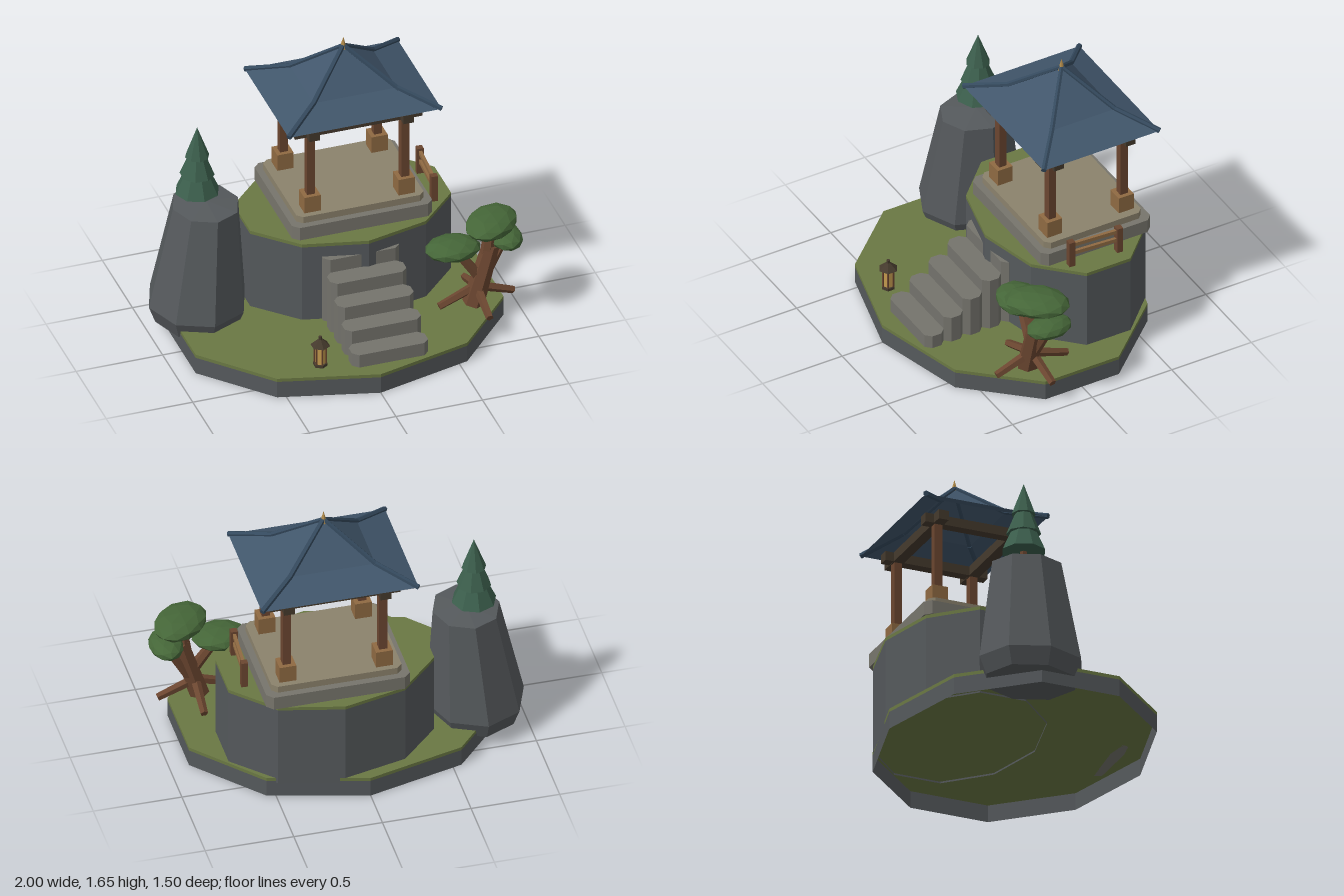
import * as THREE from 'three';

const C = {
  stone: 0x55595c, grass: 0x6a7843, step: 0x74736c, slab: 0x77756c, floor: 0x8b826c,
  wood: 0x6b4630, plinth: 0x8f6a42, beam: 0x453a2d, roof: 0x41566b, ridge: 0x34495d,
  gold: 0xb08a4a, pine: 0x3c5f4d, leaf: 0x456638, glow: 0xc49a4e,
};
const mats = {};
const mat = (name) => (mats[name] ??= new THREE.MeshStandardMaterial({
  color: C[name], flatShading: true, side: THREE.DoubleSide,
}));

function add(parent, name, geo, color, x = 0, y = 0, z = 0) {
  const mesh = new THREE.Mesh(geo, mat(color));
  mesh.name = name;
  mesh.position.set(x, y, z);
  parent.add(mesh);
  return mesh;
}

function group(parent, name, x = 0, y = 0, z = 0) {
  const g = new THREE.Group();
  g.name = name;
  g.position.set(x, y, z);
  parent.add(g);
  return g;
}

const box = (w, h, d) => new THREE.BoxGeometry(w, h, d);

// Tapered rod from a to b
function rod(parent, name, a, b, r0, r1, color, sides = 6) {
  const from = new THREE.Vector3(...a), to = new THREE.Vector3(...b);
  const dir = to.clone().sub(from);
  const m = add(parent, name, new THREE.CylinderGeometry(r1, r0, dir.length(), sides), color);
  m.position.copy(from).add(to).multiplyScalar(0.5);
  m.quaternion.setFromUnitVectors(new THREE.Vector3(0, 1, 0), dir.normalize());
  return m;
}

// Slab with cut corners, standing on y = 0
function cutSlab(w, h, d, c) {
  const x = w / 2, z = d / 2;
  const shape = new THREE.Shape([
    [x - c, -z], [x, -z + c], [x, z - c], [x - c, z],
    [-x + c, z], [-x, z - c], [-x, -z + c], [-x + c, -z],
  ].map((p) => new THREE.Vector2(...p)));
  return new THREE.ExtrudeGeometry(shape, { depth: h, bevelEnabled: false }).rotateX(-Math.PI / 2);
}

// Ten-sided terrace: open stone wall with a grass cap
function terrace(parent, name, rx, rz, y0, y1, x, z) {
  const g = group(parent, name, x, 0, z);
  const cap = 0.02, h = y1 - cap - y0;
  const wall = new THREE.CylinderGeometry(1, 1, h, 10, 1, true).scale(rx, 1, rz);
  add(g, 'stoneWall', wall, 'stone', 0, y0 + h / 2);
  add(g, 'grassCap', new THREE.CylinderGeometry(1, 1, cap, 10).scale(rx, 1, rz), 'grass', 0, y1 - cap / 2);
}

function buildStairs(parent) {
  const g = group(parent, 'stairs', 0.1, 0.1, 0);
  for (let i = 0; i < 5; i++) {
    add(g, 'step', cutSlab(0.44, 0.1 + i * 0.081, 0.12, 0.032), 'step', 0, 0, 0.587 - i * 0.12);
  }
}

function buildPavilion(parent) {
  const g = group(parent, 'pavilion', 0.147, 0, -0.295);
  add(g, 'lowerPlatform', cutSlab(0.81, 0.08, 0.69, 0.035), 'slab', 0, 0.61);
  add(g, 'upperPlatform', cutSlab(0.735, 0.04, 0.61, 0.03), 'floor', 0, 0.69);
  for (const sx of [-1, 1]) for (const sz of [-1, 1]) {
    add(g, 'postBase', box(0.094, 0.1, 0.094), 'plinth', sx * 0.272, 0.78, sz * 0.225);
    add(g, 'post', box(0.046, 0.39, 0.046), 'wood', sx * 0.272, 1.02, sz * 0.225);
  }
  for (const s of [-1, 1]) {
    add(g, 'longBeam', box(0.735, 0.055, 0.06), 'beam', 0, 1.237, s * 0.225);
    add(g, 'crossBeam', box(0.06, 0.053, 0.61), 'beam', s * 0.272, 1.237, 0);
  }
  // Four-sided roof with a flared eave, hips covered by ridge poles
  const profile = [[0.442, 1.305], [0.24, 1.385], [0, 1.59]];
  const squash = 0.825;
  const roofGeo = new THREE.LatheGeometry(
    profile.map(([r, y]) => new THREE.Vector2(r * Math.SQRT2, y)), 4, Math.PI / 4);
  add(g, 'roof', roofGeo.scale(1, 1, squash), 'roof');
  for (const sx of [-1, 1]) for (const sz of [-1, 1]) {
    const [eave, kink, peak] = profile.map(([r, y]) => [sx * r, y + 0.002, sz * r * squash]);
    rod(g, 'hipRidge', eave, kink, 0.016, 0.015, 'ridge');
    rod(g, 'hipRidge', kink, peak, 0.015, 0.013, 'ridge');
  }
  add(g, 'finial', new THREE.ConeGeometry(0.021, 0.075, 6), 'gold', 0, 1.608);
}

function buildRock(parent) {
  const profile = [[0, 0.07], [0.24, 0.07], [0.277, 0.17], [0.188, 0.78], [0, 0.8]];
  const geo = new THREE.LatheGeometry(profile.map((p) => new THREE.Vector2(...p)), 8);
  geo.scale(1, 1, 1.1);
  // Lean inward with height
  const pos = geo.attributes.position;
  for (let i = 0; i < pos.count; i++) {
    pos.setX(i, pos.getX(i) + 0.05 * Math.max(0, pos.getY(i) - 0.17) / 0.61);
  }
  add(parent, 'rockPillar', geo, 'stone', -0.724, 0, -0.225);
}

function buildPine(parent) {
  const g = group(parent, 'pine', -0.71, 0, -0.26);
  add(g, 'pineTrunk', new THREE.CylinderGeometry(0.02, 0.024, 0.12, 6), 'wood', 0, 0.82);
  [[0.125, 0.85, 1.13], [0.096, 0.96, 1.2], [0.068, 1.075, 1.26]].forEach(([r, y0, y1], i) => {
    const cone = add(g, 'pineTier', new THREE.ConeGeometry(r, y1 - y0, 8), 'pine', 0, (y0 + y1) / 2);
    cone.rotation.y = i * 0.35;
  });
}

function buildBentTree(parent) {
  const g = group(parent, 'bentTree');
  rod(g, 'trunk', [0.71, 0.12, 0.24], [0.815, 0.48, 0.24], 0.062, 0.048, 'wood');
  rod(g, 'upperTrunk', [0.79, 0.4, 0.24], [0.81, 0.6, 0.245], 0.045, 0.03, 'wood');
  rod(g, 'branch', [0.75, 0.28, 0.24], [0.61, 0.48, 0.23], 0.034, 0.026, 'wood');
  rod(g, 'branch', [0.74, 0.2, 0.23], [0.9, 0.48, 0.21], 0.03, 0.024, 'wood');
  for (const [x, z] of [[0.51, 0.25], [0.95, 0.22], [0.735, 0.45], [0.74, 0.01]]) {
    rod(g, 'root', [0.735, 0.225, 0.23], [x, 0.145, z], 0.028, 0.022, 'wood', 5);
  }
  // Flattened leaf pads: position, radii, turn
  for (const [x, y, z, rx, ry, rz, turn] of [
    [0.815, 0.622, 0.24, 0.185, 0.06, 0.135, Math.PI / 4],
    [0.597, 0.495, 0.228, 0.157, 0.056, 0.125, 0],
    [0.903, 0.5, 0.215, 0.095, 0.053, 0.135, 0],
  ]) {
    const pad = add(g, 'leafPad', new THREE.IcosahedronGeometry(1, 1).scale(rx, ry, rz), 'leaf', x, y, z);
    pad.rotation.y = turn;
  }
}

function buildRailing(parent) {
  const g = group(parent, 'railing', 0.61, 0, -0.24);
  g.rotation.y = -0.06;
  for (const s of [-1, 1]) add(g, 'railPost', box(0.038, 0.16, 0.036), 'wood', 0, 0.69, s * 0.145);
  for (const y of [0.69, 0.745]) add(g, 'rail', box(0.018, 0.022, 0.32), 'plinth', 0, y, 0);
}

function buildLantern(parent) {
  const g = group(parent, 'lantern', -0.28, 0, 0.55);
  add(g, 'lanternBase', new THREE.CylinderGeometry(0.04, 0.04, 0.016, 6), 'beam', 0, 0.128);
  add(g, 'lanternGlass', new THREE.CylinderGeometry(0.03, 0.03, 0.11, 6), 'glow', 0, 0.19);
  for (let i = 0; i < 6; i++) {
    const a = i * Math.PI / 3;
    add(g, 'lanternBar', box(0.008, 0.115, 0.008), 'wood', Math.sin(a) * 0.032, 0.192, Math.cos(a) * 0.032);
  }
  add(g, 'lanternRoof', new THREE.CylinderGeometry(0.012, 0.055, 0.04, 6), 'beam', 0, 0.268);
  add(g, 'lanternKnob', new THREE.CylinderGeometry(0.01, 0.01, 0.02, 6), 'beam', 0, 0.296);
}

export function createModel() {
  const model = new THREE.Group();
  model.name = 'gardenPavilion';
  terrace(model, 'lowerTerrace', 0.935, 0.748, 0, 0.12, 0, 0);
  terrace(model, 'upperTerrace', 0.61, 0.445, 0.09, 0.61, 0.132, -0.268);
  buildStairs(model);
  buildPavilion(model);
  buildRock(model);
  buildPine(model);
  buildBentTree(model);
  buildRailing(model);
  buildLantern(model);
  return model;
}
